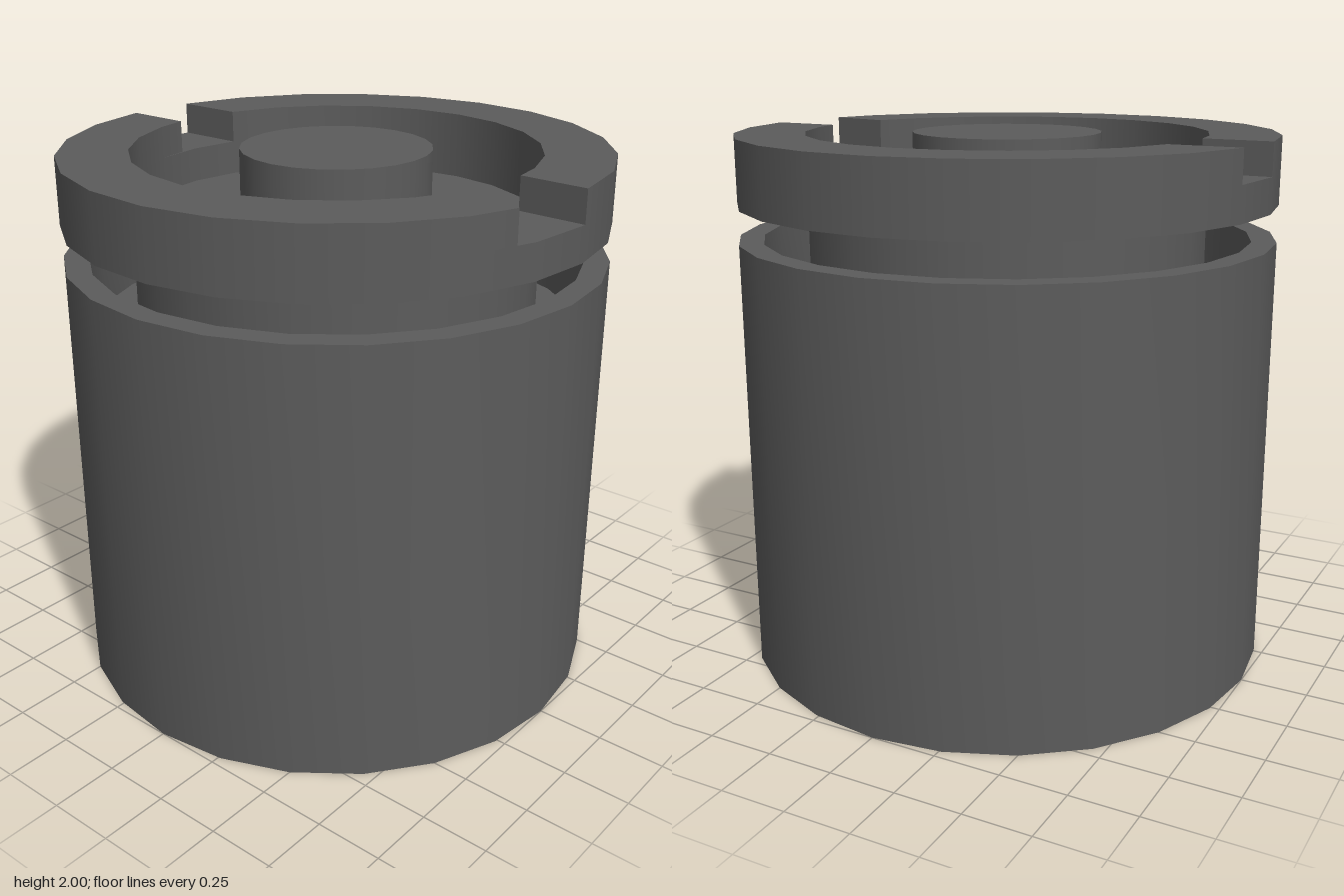
import * as THREE from 'three';
import { toCreasedNormals } from 'three/addons/utils/BufferGeometryUtils.js';

const SIDES = 24;
const STEP = (Math.PI * 2) / SIDES;
const OUTER = 1, INNER = 0.745;
// the facets of the collar are turned slightly against the body
const OUTER_TWIST = -0.052, INNER_TWIST = 0.027;

export function createModel() {
  const group = new THREE.Group();
  const material = new THREE.MeshStandardMaterial({ color: 0x5c5c5c });

  const add = (name, geometry) => {
    const mesh = new THREE.Mesh(geometry, material);
    mesh.name = name;
    group.add(mesh);
    return mesh;
  };

  // upright cylinder between two heights
  const cylinder = (name, radius, bottom, top, twist = 0) => {
    const mesh = add(name, new THREE.CylinderGeometry(radius, radius, top - bottom, SIDES));
    mesh.position.y = (bottom + top) / 2;
    mesh.rotation.y = -twist;
  };

  // flat x/z outline extruded between two heights, with its round walls shaded smooth
  const slab = (name, shape, bottom, top) => {
    const geometry = new THREE.ExtrudeGeometry(shape, { depth: top - bottom, bevelEnabled: false });
    geometry.rotateX(Math.PI / 2);
    geometry.translate(0, top, 0);
    const { position, normal } = geometry.attributes;
    const radial = new THREE.Vector3(), n = new THREE.Vector3();
    for (let i = 0; i < position.count; i++) {
      radial.fromBufferAttribute(position, i).setY(0).normalize();
      const facing = n.fromBufferAttribute(normal, i).dot(radial);
      if (Math.abs(facing) > 0.9) {
        radial.multiplyScalar(Math.sign(facing));
        normal.setXYZ(i, radial.x, 0, radial.z);
      }
    }
    add(name, geometry);
  };

  // corner points of the faceted circle lying between two angles
  const arc = (radius, twist, from, to) => {
    const points = [];
    for (let i = -SIDES; i <= SIDES * 2; i++) {
      const a = i * STEP + twist;
      if (a > from + 0.01 && a < to - 0.01) {
        points.push(new THREE.Vector2(Math.cos(a) * radius, Math.sin(a) * radius));
      }
    }
    return points;
  };

  // collar section from one notch wall to the next; each wall is [outer, inner]
  const section = (start, end) => {
    const angle = (p) => Math.atan2(p[1], p[0]);
    const span = (a, b) => [angle(a), angle(b) < angle(a) ? angle(b) + Math.PI * 2 : angle(b)];
    const vec = (p) => new THREE.Vector2(p[0], p[1]);
    return new THREE.Shape([
      vec(start[0]), ...arc(OUTER, OUTER_TWIST, ...span(start[0], end[0])), vec(end[0]),
      vec(end[1]), ...arc(INNER, INNER_TWIST, ...span(start[1], end[1])).reverse(), vec(start[1]),
    ]);
  };

  // main body with a recess in its top, around the neck
  const profile = [[0, 0], [OUTER, 0], [OUTER, 1.62], [0.91, 1.62], [0.91, 1.35], [0.7, 1.35]];
  const body = new THREE.LatheGeometry(profile.map(([r, y]) => new THREE.Vector2(r, y)), SIDES);
  add('body', toCreasedNormals(body, 0.5));

  // groove core and central boss
  cylinder('neck', INNER, 1.35, 1.75, INNER_TWIST);
  cylinder('centreBoss', 0.35, 1.75, 2);

  // full lower ring of the collar
  const ring = new THREE.Shape(arc(OUTER, OUTER_TWIST, -0.1, Math.PI * 2 - 0.1));
  ring.holes.push(new THREE.Path(arc(INNER, INNER_TWIST, 0, Math.PI * 2)));
  slab('collarBase', ring, 1.75, 1.88);

  // upper collar halves, leaving a notch on each side
  const leftFront = [[0.953, 0.282], [0.71, 0.23]];
  const leftBack = [[0.9986, -0.052], [0.741, -0.06]];
  const rightFront = [[-0.9986, 0.052], [-0.743, 0.052]];
  const rightBack = [[-0.978, -0.208], [-0.713, -0.208]];
  slab('collarFront', section(leftFront, rightFront), 1.88, 2);
  slab('collarBack', section(rightBack, leftBack), 1.88, 2);

  return group;
}
